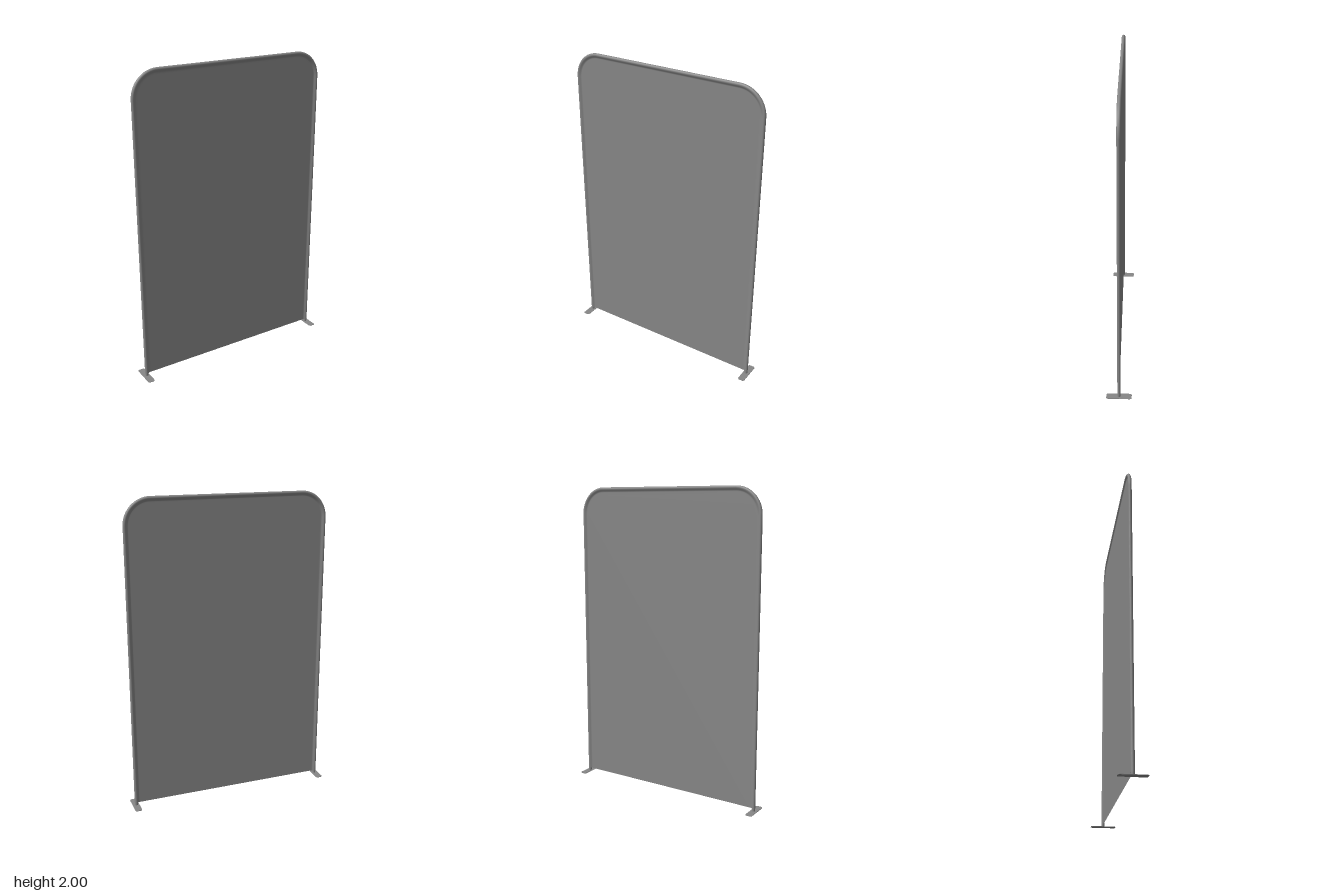
import * as THREE from 'three';

const EDGE = 0.666;   // outer half width of the cover
const TOP = 2;        // outer height of the cover
const BEND = 0.171;   // outer corner radius
const TUBE = 0.011;   // radius of the rounded rim
const BOTTOM = 0.02;  // lower hem of the cover
const SKIN = 0.002;   // half thickness of the flat panel
const INNER = 0.04;   // distance from the edge where the panel is flat
const FOOT = { w: 0.045, d: 0.164, h: 0.003, r: 0.012 };

// Arch outline moved inwards: up the left side, over the top, down the right side
function archPoints(inset) {
  const points = [new THREE.Vector2(EDGE - inset, BOTTOM)];
  const cx = EDGE - BEND, cy = TOP - BEND, r = BEND - inset, steps = 16;
  for (const side of [1, -1]) {
    for (let k = 0; k <= steps; k++) {
      const a = (side > 0 ? k : steps + k) / steps * Math.PI / 2;
      points.push(new THREE.Vector2(side * cx + r * Math.cos(a), cy + r * Math.sin(a)));
    }
  }
  points.push(new THREE.Vector2(-EDGE + inset, BOTTOM));
  return points;
}

// Rim cross-section as [inset, z]: rounded outside, easing into the flat panel
function rimProfile() {
  const front = [];
  for (let k = 0; k <= 8; k++) {
    const a = k / 8 * Math.PI / 2;
    front.push([TUBE - TUBE * Math.cos(a), TUBE * Math.sin(a)]);
  }
  for (let k = 1; k <= 8; k++) {
    const t = k / 8;
    front.push([TUBE + 0.021 * t, TUBE - (TUBE - SKIN) * THREE.MathUtils.smoothstep(t, 0, 1)]);
  }
  front.push([INNER, SKIN]);
  const back = front.slice(1).map(([inset, z]) => [inset, -z]);
  return [...front.reverse(), ...back];
}

// Sweep the cross-section along the arch
function rimGeometry() {
  const rows = rimProfile().map(([inset, z]) => archPoints(inset).map((p) => [p.x, p.y, z]));
  const n = rows[0].length, index = [];
  for (let j = 0; j < rows.length - 1; j++) {
    for (let i = 0; i < n - 1; i++) {
      const a = j * n + i, b = a + n;
      index.push(a, b, a + 1, b, b + 1, a + 1);
    }
  }
  const geometry = new THREE.BufferGeometry();
  geometry.setAttribute('position', new THREE.Float32BufferAttribute(rows.flat(2), 3));
  geometry.setIndex(index);
  geometry.computeVertexNormals();
  return geometry;
}

function footShape() {
  const { w, d, r } = FOOT, x = w / 2 - r, y = d / 2 - r;
  const s = new THREE.Shape();
  s.absarc(x, y, r, 0, Math.PI / 2, false);
  s.absarc(-x, y, r, Math.PI / 2, Math.PI, false);
  s.absarc(-x, -y, r, Math.PI, Math.PI * 1.5, false);
  s.absarc(x, -y, r, Math.PI * 1.5, Math.PI * 2, false);
  s.closePath();
  return s;
}

export function createModel() {
  const group = new THREE.Group();
  const material = new THREE.MeshStandardMaterial({ color: 0x878787, side: THREE.DoubleSide });
  const add = (name, geometry) => {
    const mesh = new THREE.Mesh(geometry, material);
    mesh.name = name;
    group.add(mesh);
    return mesh;
  };

  // Stretched cover: rounded rim with a flat sheet on each side
  add('coverRim', rimGeometry());
  const sheet = new THREE.ShapeGeometry(new THREE.Shape(archPoints(INNER)));
  add('frontSheet', sheet).position.z = SKIN;
  const back = add('backSheet', sheet);
  back.position.z = -SKIN;
  back.rotation.y = Math.PI;

  // Short tube ends below the cover and flat base plates
  const leg = new THREE.CylinderGeometry(TUBE * 0.9, TUBE * 0.9, 0.04, 16);
  const foot = new THREE.ExtrudeGeometry(footShape(), { depth: FOOT.h, bevelEnabled: false, curveSegments: 6 });
  foot.rotateX(-Math.PI / 2);
  for (const [name, side] of [['left', 1], ['right', -1]]) {
    add(name + 'Leg', leg).position.set(side * (EDGE - TUBE), 0.021, 0);
    add(name + 'Foot', foot).position.x = side * (EDGE - TUBE + 0.003);
  }
  return group;
}
